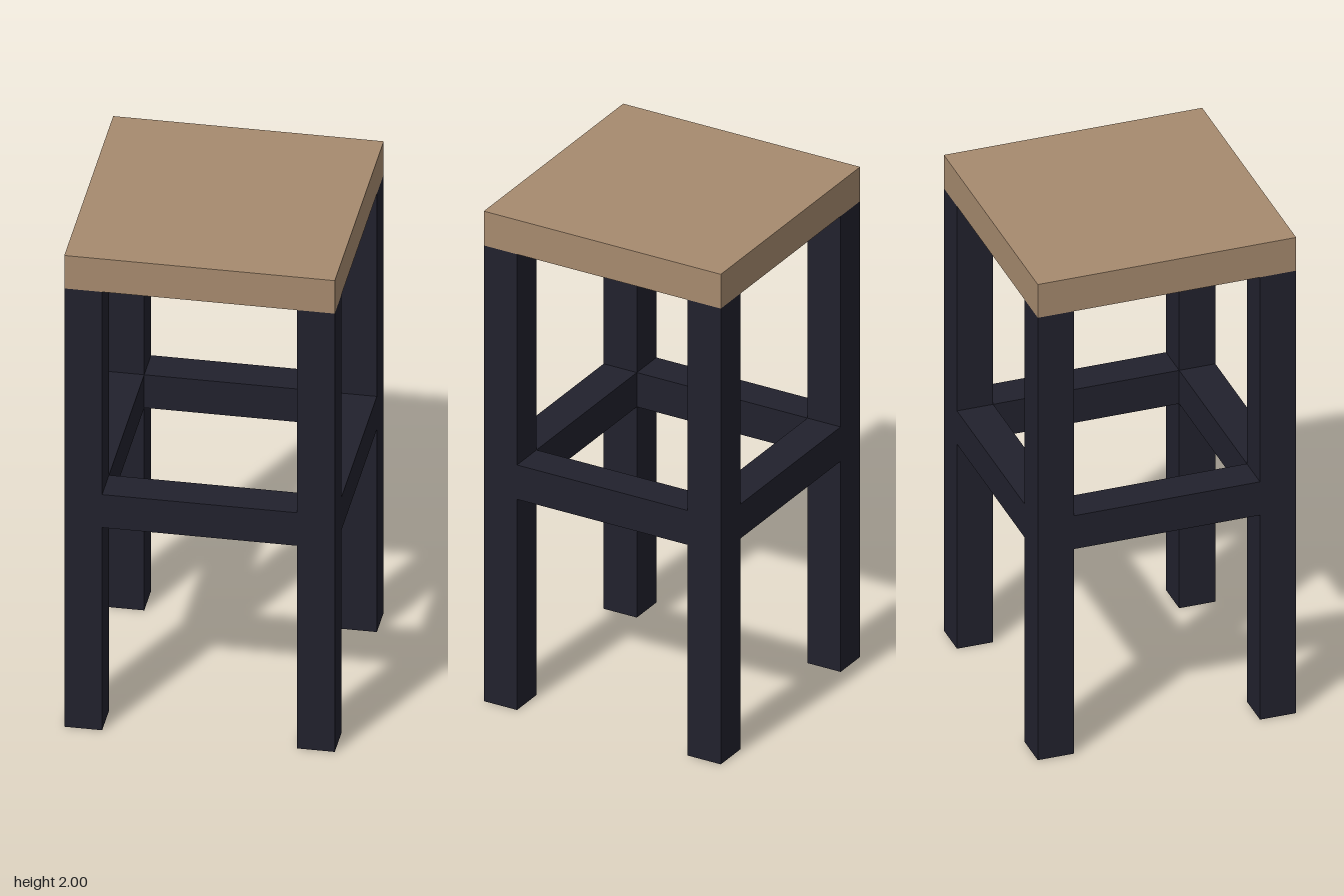
import * as THREE from 'three';

const T = 0.14; // thickness shared by seat, legs and rails
const WIDTH = 1;
const HEIGHT = 2;

export function createModel() {
  const stool = new THREE.Group();
  stool.name = 'stool';
  const wood = new THREE.MeshStandardMaterial({ color: 0xa68a6e });
  const dark = new THREE.MeshStandardMaterial({ color: 0x21212d });

  const addBox = (name, material, [w, h, d], [x, y, z]) => {
    const mesh = new THREE.Mesh(new THREE.BoxGeometry(w, h, d), material);
    mesh.name = name;
    mesh.position.set(x, y, z);
    stool.add(mesh);
  };

  // Square seat slab
  addBox('seat', wood, [WIDTH, T, WIDTH], [0, HEIGHT - T / 2, 0]);

  const legHeight = HEIGHT - T;
  const offset = (WIDTH - T) / 2;
  const railLength = WIDTH - 2 * T;
  const railY = 1 - T / 2;

  for (const s of [1, -1]) {
    const end = s > 0 ? 'front' : 'back';
    const side = s > 0 ? 'left' : 'right';

    // Legs, flush with the seat corners
    addBox(end + 'LeftLeg', dark, [T, legHeight, T], [offset, legHeight / 2, s * offset]);
    addBox(end + 'RightLeg', dark, [T, legHeight, T], [-offset, legHeight / 2, s * offset]);

    // Rails between the legs, flush with their outer faces
    addBox(end + 'Rail', dark, [railLength, T, T], [0, railY, s * offset]);
    addBox(side + 'Rail', dark, [T, T, railLength], [s * offset, railY, 0]);
  }
  return stool;
}
